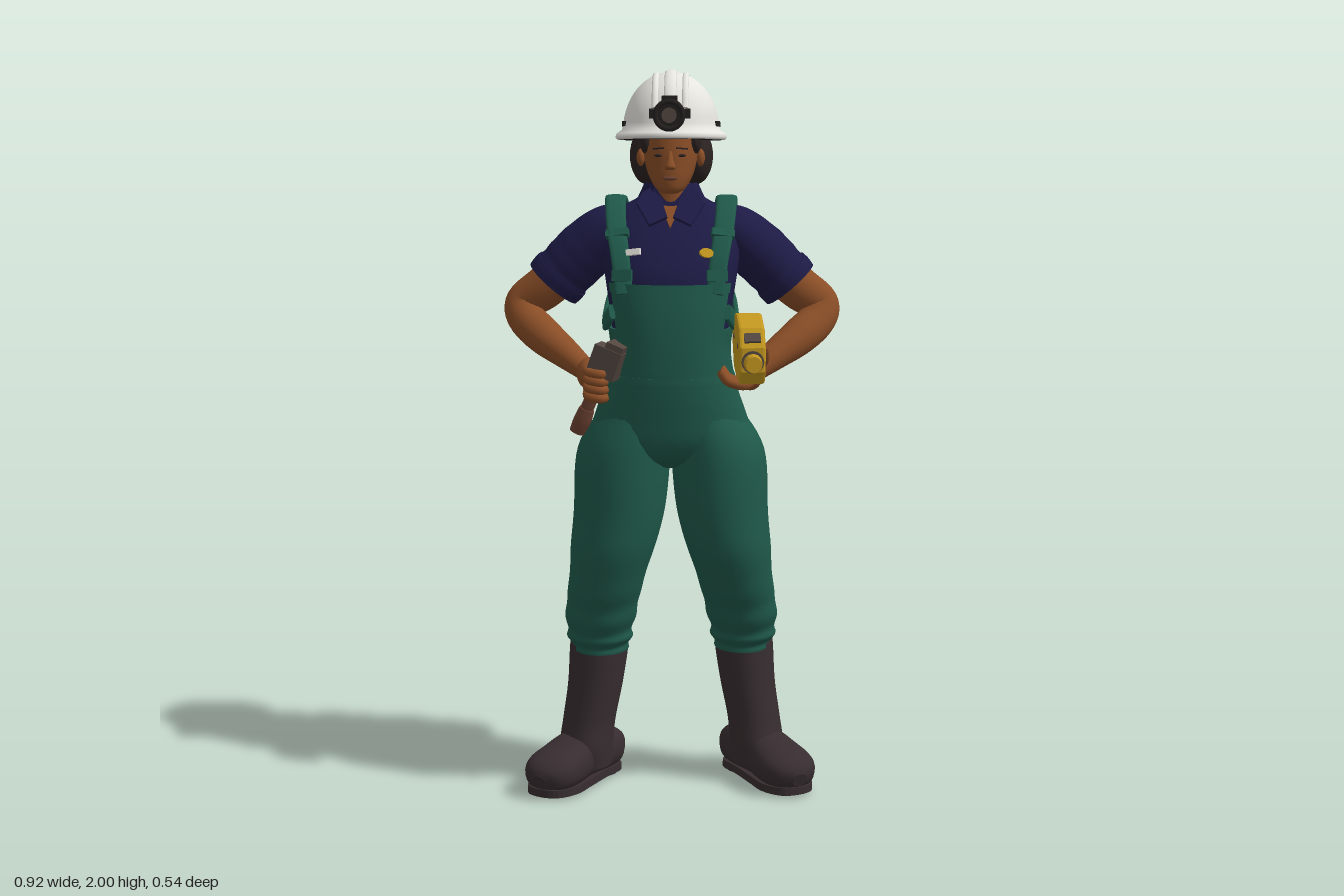
import * as THREE from 'three';

const mat = (name, color, side = THREE.FrontSide) =>
  Object.assign(new THREE.MeshStandardMaterial({ color, side }), { name });

const V = (x, y, z) => new THREE.Vector3(x, y, z);

// Tube through rows [x, y, z, a, b]; b lies along the axis ref, a across it.
function loft(rows, { ref = V(0, 0, 1), flat = false, n = 28, arc = null, pow = 1, grow = 0, fold = 0 } = {}) {
  const path = new THREE.CatmullRomCurve3(rows.map(r => V(r[0], r[1], r[2])), false, 'catmullrom');
  const radii = new THREE.CatmullRomCurve3(rows.map(r => V(r[3], r[4], 0)), false, 'catmullrom');
  const steps = (rows.length - 1) * 6, pos = [], idx = [];
  const cols = arc ? n + 1 : n;
  const bend = c => Math.sign(c) * Math.abs(c) ** pow;
  for (let i = 0; i <= steps; i++) {
    const t = i / steps, c = path.getPoint(t), r = radii.getPoint(t);
    const tan = flat ? V(0, 1, 0) : path.getTangent(t);
    const u = ref.clone().cross(tan).normalize(), v = tan.clone().cross(u);
    for (let j = 0; j < cols; j++) {
      const th = arc ? arc[0] + (arc[1] - arc[0]) * j / n : 2 * Math.PI * j / n;
      const k = 1 + fold * t * t * Math.sin(t * 38 + 2 * Math.sin(th) + Math.cos(2 * th));
      const p = c.clone().addScaledVector(u, bend(Math.cos(th)) * (r.x + grow) * k)
        .addScaledVector(v, bend(Math.sin(th)) * (r.y + grow) * k);
      pos.push(p.x, p.y, p.z);
    }
  }
  const down = flat && rows[0][1] > rows[rows.length - 1][1];
  const tri = (a, b, c) => (down ? idx.push(a, c, b) : idx.push(a, b, c));
  for (let i = 0; i < steps; i++) for (let j = 0; j < n; j++) {
    const a = i * cols + j, b = i * cols + (j + 1) % cols;
    tri(a, b, a + cols); tri(b, b + cols, a + cols);
  }
  // End caps with their own vertices, so the rims stay crisp
  if (!arc) for (const i of [0, steps]) {
    const base = pos.length / 3, c = path.getPoint(i / steps);
    pos.push(...pos.slice(i * n * 3, (i + 1) * n * 3), c.x, c.y, c.z);
    for (let j = 0; j < n; j++) {
      const a = base + j, b = base + (j + 1) % n;
      i ? tri(a, b, base + n) : tri(b, a, base + n);
    }
  }
  const g = new THREE.BufferGeometry();
  g.setAttribute('position', new THREE.Float32BufferAttribute(pos, 3));
  g.setIndex(idx);
  g.computeVertexNormals();
  return g;
}

export function createModel() {
  const M = {
    green: mat('overallGreen', 0x1f594a, THREE.DoubleSide), navy: mat('shirtNavy', 0x1d1b45, THREE.DoubleSide),
    skin: mat('skin', 0x8a4e27), brown: mat('handleBrown', 0x6b4132), hair: mat('hair', 0x2c2322),
    boot: mat('bootRubber', 0x372d30), white: mat('helmetWhite', 0xe6e4de),
    yellow: mat('deviceYellow', 0xc4981f), black: mat('lampBlack', 0x231f1f), metal: mat('toolMetal', 0x544740),
  };
  const model = new THREE.Group();
  const add = (name, geo, m, p = [0, 0, 0], rot = [0, 0, 0], parent = model) => {
    const mesh = new THREE.Mesh(geo, m);
    mesh.name = name;
    mesh.position.set(...p);
    mesh.rotation.set(...rot);
    parent.add(mesh);
    return mesh;
  };
  const blob = (name, m, p, s) => add(name, new THREE.SphereGeometry(1, 24, 16), m, p).scale.set(...s);
  const box = (w, h, d) => new THREE.BoxGeometry(w, h, d);
  const cyl = (r1, r2, h, n = 24) => new THREE.CylinderGeometry(r1, r2, h, n);
  const tube = (pts, r) => loft(pts.map(p => [...p, r, r]), { n: 10 });
  const plate = (pts, depth, bevel = 0) => new THREE.ExtrudeGeometry(
    new THREE.Shape(pts.map(p => new THREE.Vector2(...p))),
    { depth, bevelEnabled: bevel > 0, bevelSize: bevel, bevelThickness: bevel, bevelSegments: 2 });
  const rad = Math.PI / 180;

  // Shirt body
  const body = [[0, 1.15, 0, .165, .13], [0, 1.25, 0, .155, .132], [0, 1.35, -.01, .165, .137], [0, 1.45, -.035, .18, .148],
    [0, 1.52, -.057, .19, .138], [0, 1.58, -.074, .182, .116], [0, 1.62, -.08, .15, .094], [0, 1.65, -.078, .095, .08], [0, 1.685, -.07, .06, .062]];
  add('shirt', loft(body, { flat: true, pow: .88 }), M.navy);

  // Overalls: hips, waistband, front and back bib
  const hips = [[0, 1.31, -.005, .17, .142], [0, 1.24, 0, .164, .14], [0, 1.15, -.003, .18, .14], [0, 1.07, -.02, .206, .148],
    [0, 1.0, -.032, .224, .148], [0, .955, -.036, .17, .125], [0, .925, -.036, .06, .075]];
  add('overallHips', loft(hips, { flat: true, pow: .92 }), M.green);
  add('waistband', loft([[0, 1.155, -.003, .181, .143], [0, 1.17, -.002, .178, .143], [0, 1.185, -.001, .174, .142]], { flat: true, pow: .92 }), M.green);
  const bib = (name, from, to, a, b, grow) => {
    const rows = body.slice(0, 4);
    const cut = new THREE.CatmullRomCurve3(rows.map(r => V(r[2], r[3], r[4])), false, 'catmullrom');
    const part = [0, 1, 2, 3].map(i => {
      const y = from + (to - from) * i / 3, q = cut.getPoint((y - 1.15) / .3);
      return [0, y, q.x, q.y, q.z];
    });
    add(name, loft(part, { flat: true, pow: .88, arc: [a * rad, b * rad], grow }), M.green);
  };
  bib('frontBib', 1.2, 1.435, 34, 146, .012);
  bib('frontBibHem', 1.41, 1.437, 34, 146, .016);
  bib('backBib', 1.2, 1.44, 208, 332, .012);
  bib('backBibHem', 1.405, 1.445, 208, 332, .018);

  // Open neck and collar
  add('openNeck', plate([[-.042, .055], [0, -.06], [.042, .055]], .006), M.skin, [0, 1.625, .008], [-.7, 0, 0]);
  add('neck', loft([[0, 1.6, -.06, .058, .066], [0, 1.66, -.055, .051, .058], [0, 1.74, -.05, .05, .055]]), M.skin);
  add('collarBand', loft([[0, 1.635, -.075, .1, .088], [0, 1.67, -.077, .083, .08], [0, 1.695, -.078, .072, .074]],
    { flat: true, arc: [125 * rad, 415 * rad] }), M.navy);

  for (const s of [1, -1]) {
    const side = s > 0 ? 'left' : 'right', X = rows => rows.map(r => [r[0] * s, ...r.slice(1)]);
    const dz = s > 0 ? -.02 : .02;

    // Collar flap
    add(side + 'CollarFlap', plate(s > 0 ? [[.038, .075], [.01, -.025], [.055, -.05], [.09, .02], [.075, .055]] :
      [[-.038, .075], [-.075, .055], [-.09, .02], [-.055, -.05], [-.01, -.025]], .007, .002), M.navy, [0, 1.625, .014], [-.7, 0, 0]);

    // Trouser leg
    const leg = X([[.09, 1.09, -.025, .095, .128], [.128, .97, -.033, .128, .156], [.142, .8, -.025, .126, .146], [.163, .68, -.02, .114, .128],
      [.182, .58, -.042, .102, .116], [.194, .51, -.075, .1, .12], [.2, .45, -.098, .092, .117], [.2, .415, -.108, .088, .108], [.2, .385, -.112, .076, .093]]);
    leg.forEach(r => { r[2] += dz * THREE.MathUtils.clamp((.75 - r[1]) / .3, 0, 1); });
    add(side + 'TrouserLeg', loft(leg, { flat: true, fold: .055 }), M.green);

    // Boot
    add(side + 'BootShaft', loft(X([[.203, .415, -.115 + dz, .079, .092], [.204, .385, -.115 + dz, .082, .096], [.215, .28, -.115 + dz, .077, .094],
      [.232, .18, -.114 + dz, .074, .094], [.24, .11, -.112 + dz, .075, .098], [.238, .05, -.115 + dz, .07, .09]]), { flat: true }), M.boot);
    const foot = new THREE.Group();
    foot.name = side + 'Foot';
    foot.position.set(.236 * s, 0, -.125 + dz);
    foot.rotation.y = 30 * rad * s;
    model.add(foot);
    add(side + 'BootFoot', loft([[0, .06, -.118, .03, .04], [0, .068, -.1, .058, .055], [0, .08, -.03, .07, .068], [0, .082, .06, .066, .07],
      [0, .073, .13, .078, .061], [0, .065, .19, .078, .054], [0, .056, .23, .058, .042], [0, .05, .25, .022, .02]],
      { ref: V(0, 1, 0), pow: .85 }), M.boot, [0, 0, 0], [0, 0, 0], foot);
    const outline = [[0, -.116], [.056, -.085], [.06, 0], [.07, .1], [.075, .17], [.05, .23], [0, .247]];
    const sole = new THREE.Shape(new THREE.SplineCurve([...outline, ...outline.slice(0, -1).reverse().map(p => [-p[0], p[1]])]
      .map(p => new THREE.Vector2(p[0], -p[1]))).getPoints(48));
    add(side + 'BootSole', new THREE.ExtrudeGeometry(sole, { depth: .022, bevelEnabled: false }), M.boot, [0, .008, 0], [-Math.PI / 2, 0, 0], foot);
    add(side + 'BootHeel', cyl(.054, .05, .03), M.boot, [0, .015, -.058], [0, 0, 0], foot);

    // Sleeve, arm and palm
    add(side + 'Sleeve', loft(X([[.11, 1.6, -.085, .036, .062], [.168, 1.565, -.092, .07, .084], [.235, 1.505, -.102, .082, .087],
      [.288, 1.452, -.108, .08, .084], [.322, 1.415, -.112, .081, .084]]), { fold: .025 }), M.navy);
    add(side + 'SleeveCuff', loft(X([[.3, 1.44, -.109, .084, .088], [.312, 1.427, -.111, .085, .088], [.325, 1.412, -.112, .083, .086]])), M.navy);
    add(side + 'Arm', loft(X([[.28, 1.46, -.108, .06, .062], [.35, 1.4, -.12, .06, .06], [.405, 1.358, -.125, .054, .053], [.4, 1.318, -.098, .052, .051],
      [.35, 1.275, -.053, .051, .052], [.285, 1.232, -.003, .041, .042], [.23, 1.195, .04, .03, .032]])), M.skin);
    blob(side + 'Palm', M.skin, [.217 * s, 1.19, .068], [.035, .044, .05]);

    // Shoulder strap with buckle, and the band beneath the arm
    const strap = { ref: V(1, 0, 0), n: 16, pow: .6 };
    add(side + 'Strap', loft(X([[.122, 1.41, .103, .009, .024], [.132, 1.5, .076, .009, .025], [.144, 1.575, .028, .01, .027], [.15, 1.632, -.035, .011, .028],
      [.15, 1.648, -.09, .011, .03], [.145, 1.6, -.165, .012, .032], [.133, 1.52, -.194, .012, .03], [.115, 1.42, -.192, .01, .028]]), strap), M.green);
    add(side + 'Buckle', box(.056, .03, .012), M.green, [.127 * s, 1.46, .105], [-.2, .3 * s, 0]);
    add(side + 'StrapSlider', box(.062, .022, .02), M.green, [.142 * s, 1.565, .038], [-.7, .2 * s, 0]);
    add(side + 'ArmholeBand', loft(X([[.135, 1.43, -.165], [.168, 1.365, -.1], [.178, 1.325, -.03], [.174, 1.325, .03], [.155, 1.36, .085]])
      .map(r => [...r, .008, .022]), { ref: V(0, 1, 0), n: 16, pow: .6 }), M.green);

    // Hair volumes, ears, eyes and brows
    blob(side + 'HairSide', M.hair, [.066 * s, 1.765, -.09], [.047, .078, .08]);
    blob(side + 'Sideburn', M.hair, [.066 * s, 1.815, -.01], [.018, .04, .04]);
    blob(side + 'Ear', M.skin, [.08 * s, 1.765, -.02], [.012, .024, .016]);
    blob(side + 'Eye', M.hair, [.03 * s, 1.775, .046], [.013, .004, .007]);
    add(side + 'Brow', box(.032, .004, .008), M.hair, [.031 * s, 1.794, .048], [0, .35 * s, -.1 * s]);
  }

  // Head
  add('head', loft([[0, 1.672, .012, .02, .025], [0, 1.685, .005, .04, .046], [0, 1.715, -.013, .058, .069], [0, 1.75, -.028, .07, .084],
    [0, 1.79, -.038, .077, .093], [0, 1.85, -.045, .078, .093]], { flat: true }), M.skin);
  add('nose', loft([[0, 1.787, .048, .007, .008], [0, 1.765, .057, .009, .011], [0, 1.746, .062, .015, .014], [0, 1.738, .056, .011, .007]], { flat: true, n: 14 }), M.skin);
  blob('mouth', M.brown, [0, 1.715, .053], [.02, .006, .007]);
  blob('backHair', M.hair, [0, 1.765, -.11], [.09, .082, .078]);

  // Helmet
  const helmet = new THREE.Group();
  helmet.name = 'helmet';
  helmet.position.set(0, 1.822, -.057);
  helmet.rotation.x = -.09;
  model.add(helmet);
  const profile = [[.118, -.004], [.146, -.012], [.151, -.006], [.148, .004], [.133, .014]];
  for (let i = 1; i <= 14; i++) profile.push([.13 * Math.cos(i / 14 * Math.PI / 2), .014 + .156 * Math.sin(i / 14 * Math.PI / 2)]);
  add('helmetShell', new THREE.LatheGeometry(profile.map(p => new THREE.Vector2(Math.max(p[0], 0), p[1])), 48), M.white, [0, 0, 0], [0, 0, 0], helmet).scale.z = 1.1;
  add('helmetLining', new THREE.CircleGeometry(.138, 40), M.black, [0, -.0125, 0], [Math.PI / 2, 0, 0], helmet).scale.y = 1.1;
  for (const x of [-.04, 0, .04]) {
    const k = Math.sqrt(1 - (x / .13) ** 2), rows = [];
    for (let i = 0; i <= 8; i++) {
      const a = (.12 + .76 * i / 8) * Math.PI;
      rows.push([x, .014 + .156 * k * Math.sin(a), .143 * k * Math.cos(a), .006, x ? .009 : .016]);
    }
    add('helmetRidge', loft(rows, { ref: V(1, 0, 0), n: 12 }), M.white, [0, 0, 0], [0, 0, 0], helmet);
  }
  for (const s of [1, -1]) for (const z of [-.05, .04])
    add('helmetClip', box(.012, .014, .028), M.black, [.123 * s, .03, z], [0, -z * 6 * s, 0], helmet);

  // Headlamp
  add('lampBody', cyl(.04, .04, .065), M.black, [0, 1.888, .118], [Math.PI / 2, 0, 0]);
  add('lampRim', new THREE.TorusGeometry(.036, .007, 10, 28), M.black, [0, 1.888, .15]);
  add('lampLens', cyl(.02, .02, .006), M.metal, [0, 1.888, .151], [Math.PI / 2, 0, 0]);
  add('lampBracket', box(.11, .024, .03), M.black, [0, 1.888, .075]);
  add('lampTop', box(.04, .022, .045), M.black, [0, 1.925, .1]);

  // Badges
  add('whiteBadge', box(.042, .017, .008), M.white, [-.098, 1.52, .08], [-.4, -.4, 0]);
  add('goldBadge', cyl(.02, .02, .008), M.yellow, [.098, 1.518, .08], [Math.PI / 2 - .4, 0, -.4]).scale.z = .65;

  // Hand-held device
  const device = new THREE.Group();
  device.name = 'handDevice';
  device.position.set(.203, 0, 0);
  device.rotation.y = .09;
  model.add(device);
  const side = [[.005, 1.33], [0, 1.28], [.05, 1.21], [.12, 1.195], [.19, 1.19], [.212, 1.22], [.212, 1.28], [.18, 1.325], [.1, 1.352], [.04, 1.345]];
  add('deviceCase', plate(side, .056, .007), M.yellow, [.028, 0, 0], [0, -Math.PI / 2, 0], device);
  add('deviceCollar', cyl(.03, .03, .014, 16), M.metal, [0, 1.245, .218], [Math.PI / 2, 0, 0], device);
  add('deviceNozzle', cyl(.022, .026, .04, 12), M.yellow, [0, 1.243, .239], [Math.PI / 2, 0, 0], device);
  add('devicePanel', box(.044, .03, .006), M.metal, [0, 1.307, .205], [-.87, 0, 0], device);
  for (const z of [.06, .17]) add('deviceScrew', cyl(.008, .008, .075, 10), M.metal, [0, 1.3 - z * .1, z], [0, 0, Math.PI / 2], device);

  // Left fingers wrap beneath the device
  for (let i = 0; i < 4; i++) {
    const z = .08 + .024 * i;
    add('leftFinger', tube([[.232, 1.19, z - .03], [.205, 1.172, z], [.16, 1.182, z + .006], [.138, 1.208, z + .002]], .0125), M.skin);
  }
  add('leftThumb', tube([[.24, 1.2, .05], [.254, 1.235, .08], [.25, 1.272, .115]], .014), M.skin);

  // Hip tool held in the right hand
  add('toolHandle', tube([[-.165, 1.24, .112], [-.205, 1.14, .115], [-.245, 1.05, .1]], .018), M.brown);
  add('toolGrip', loft([[-.222, 1.1, .11, .021, .021], [-.235, 1.068, .105, .024, .023], [-.25, 1.035, .099, .021, .02]]), M.brown);
  add('toolHead', box(.08, .08, .055), M.metal, [-.168, 1.228, .11], [0, -.3, -.35]);
  add('toolCheek', box(.05, .04, .062), M.metal, [-.142, 1.258, .11], [0, -.3, -.35]);
  for (let i = 0; i < 4; i++) {
    const y = 1.21 - .022 * i;
    add('rightFinger', tube([[-.222, y, .075], [-.218, y - .008, .12], [-.188, y - .012, .138], [-.17, y - .012, .122]], .0125), M.skin);
  }
  add('rightThumb', tube([[-.205, 1.215, .05], [-.178, 1.225, .085], [-.165, 1.2, .11]], .013), M.skin);

  return model;
}
